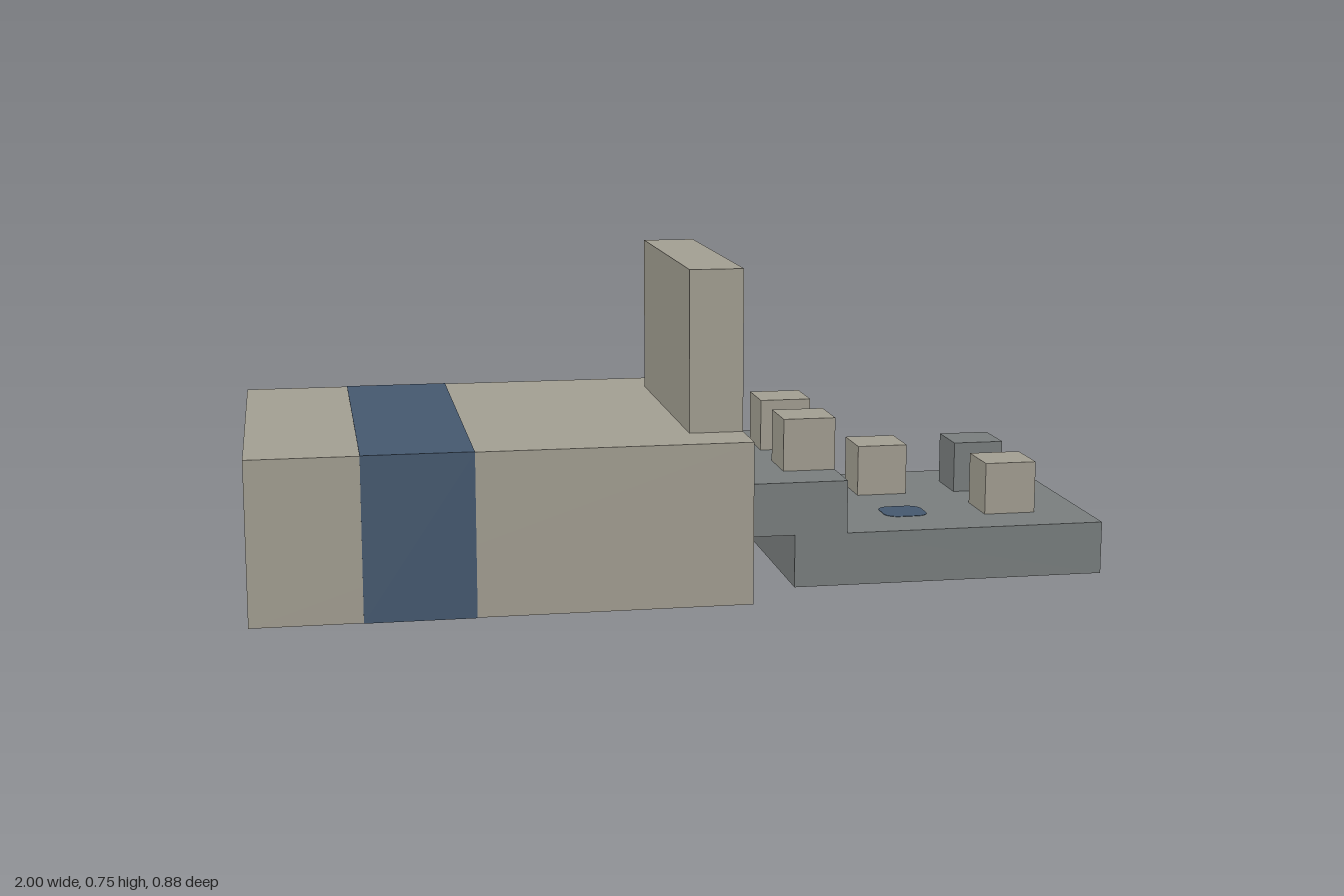
import * as THREE from 'three';

export function createModel() {
  const model = new THREE.Group();
  model.name = 'blockModel';

  const makeMat = (name, color) => {
    const m = new THREE.MeshStandardMaterial({ color });
    m.name = name;
    return m;
  };
  const beige = makeMat('warm beige', 0xa5a194);
  const grey = makeMat('slate grey', 0x7b8080);
  const blue = makeMat('dusty blue', 0x465a71);

  const add = (name, geometry, material) => {
    const mesh = new THREE.Mesh(geometry, material);
    mesh.name = name;
    model.add(mesh);
    return mesh;
  };
  // Box given by its lower and upper bounds
  const block = (name, material, [x0, y0, z0], [x1, y1, z1]) => {
    const mesh = add(name, new THREE.BoxGeometry(x1 - x0, y1 - y0, z1 - z0), material);
    mesh.position.set((x0 + x1) / 2, (y0 + y1) / 2, (z0 + z1) / 2);
    return mesh;
  };

  const U = 0.125; // basic module
  const T = 0.001; // how far painted plates stand proud

  // Main body and upright panel
  block('body', beige, [-1, 0, -0.4375], [U, 0.375, 0.4375]);
  block('uprightPanel', beige, [0, 0.375, -0.3125], [U, 0.75, 0.3125]);

  // Painted band over the top and down both sides
  block('bandTop', blue, [-0.75, 0.374, -0.4375 - T], [-0.5, 0.375 + T, 0.4375 + T]);
  for (const s of [-1, 1]) {
    const z = s * 0.4375;
    block('bandSide', blue, [-0.75, 0, z - T], [-0.5, 0.3745, z + T]);
  }

  // Flat plate lying horizontally, from a shape drawn in x and z
  const plate = (name, shape, y) => {
    const geo = new THREE.ExtrudeGeometry(shape, { depth: 2 * T, bevelEnabled: false, curveSegments: 5 });
    geo.rotateX(Math.PI / 2);
    return add(name, geo.translate(0, y + T, 0), blue);
  };

  // Ends of the band wrapping under the body, with rounded inner corners
  for (const s of [-1, 1]) {
    const outer = s * 0.4375, inner = s * 0.338, r = 0.025;
    const shape = new THREE.Shape();
    shape.moveTo(-0.75, outer);
    shape.lineTo(-0.75, inner + s * r);
    shape.quadraticCurveTo(-0.75, inner, -0.75 + r, inner);
    shape.lineTo(-0.5 - r, inner);
    shape.quadraticCurveTo(-0.5, inner, -0.5, inner + s * r);
    shape.lineTo(-0.5, outer);
    plate('bandUnderside', shape, 0);
  }

  // Stepped base as one extruded profile
  const profile = new THREE.Shape(
    [[U, U], [2 * U, U], [2 * U, 0], [1, 0], [1, U], [3 * U, U], [3 * U, 2 * U], [U, 2 * U]]
      .map(([x, y]) => new THREE.Vector2(x, y))
  );
  const base = new THREE.ExtrudeGeometry(profile, { depth: 0.625, bevelEnabled: false });
  add('steppedBase', base.translate(0, 0, -0.3125), grey);

  // Small cubes: x start, y start, z centre, material
  for (const [x, y, z, mat] of [
    [0.25, 0.25, -U, beige],
    [0.25, 0.25, U, beige],
    [0.5, U, -U, beige],
    [0.75, U, U, beige],
    [0.75, U, -U, grey],
  ]) {
    block('smallCube', mat, [x, y, z - U / 2], [x + U, y + U, z + U / 2]);
  }

  // Rounded blue spot in the empty cube place, above and below the base
  const spot = new THREE.Shape();
  const h = 0.053, r = 0.032, cx = 0.5625, cz = U;
  [[1, 1, 0], [-1, 1, 1], [-1, -1, 2], [1, -1, 3]].forEach(([sx, sz, k]) => {
    spot.absarc(cx + sx * (h - r), cz + sz * (h - r), r, k * Math.PI / 2, (k + 1) * Math.PI / 2, false);
  });
  plate('spotTop', spot, U);
  plate('spotUnderside', spot, 0);

  return model;
}
